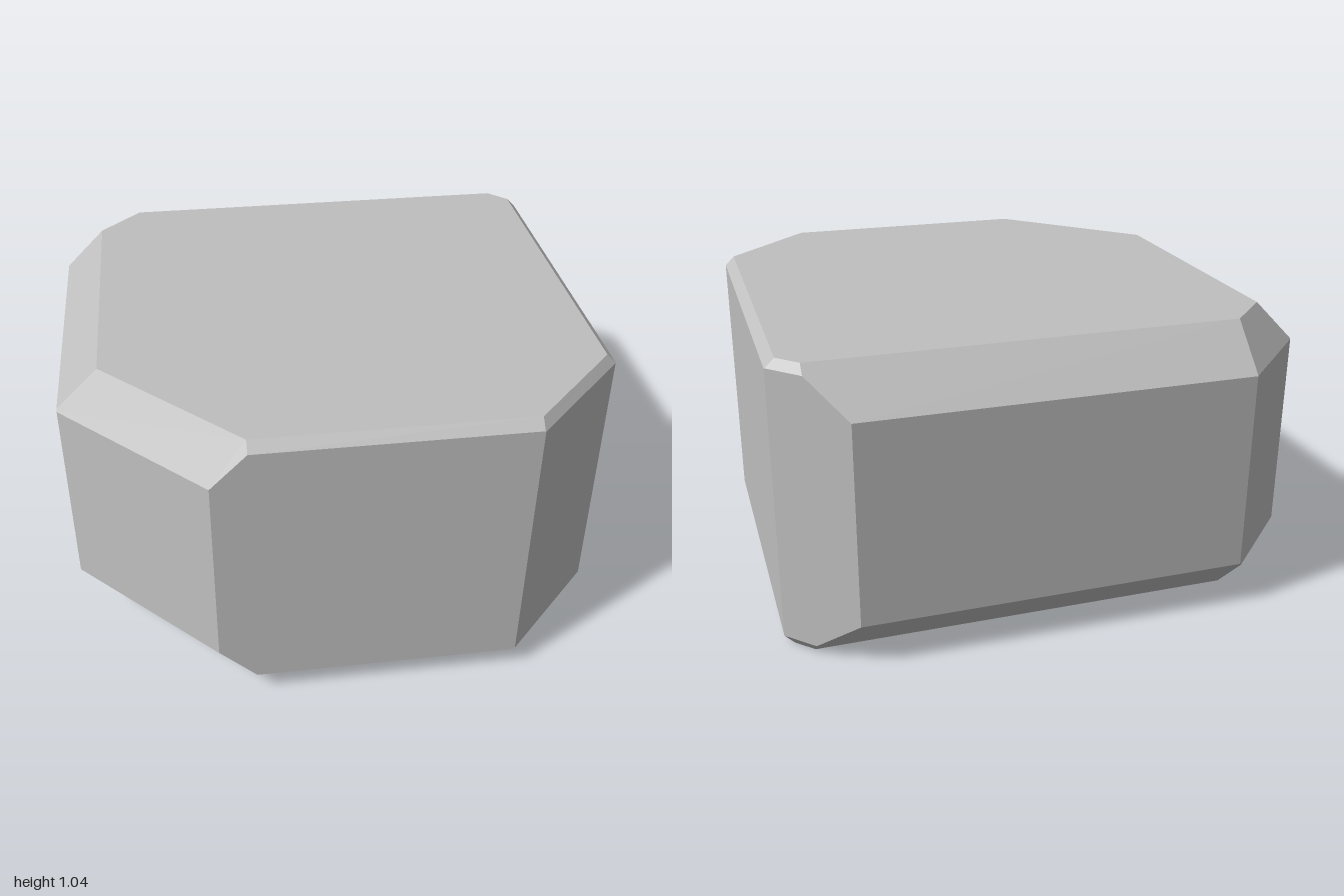
import * as THREE from 'three';

// Flat cuts [i, j, k, d]: the solid is where i*x + j*y + k*z <= d
const cuts = [
  // main faces
  [1, 0, 0, 0.9], [-1, 0, 0, 0.9], [0, 1, 0, 0.49], [0, -1, 0, 0.49], [0, 0, 1, 0.895], [0, 0, -1, 0.843],
  // upright edge bevels
  [-1, 0, -1, 1.456], [1, 0, -1, 1.53], [1, 0, 1, 1.46], [-1, 0, 1, 1.335],
  // top edge bevels
  [-1, 1, 0, 1.248], [1, 1, 0, 1.358], [0, 1, -1, 1.187], [0, 1, 1, 1.353],
  // bottom edge bevels
  [-1, -1, 0, 1.248], [1, -1, 0, 1.358], [0, -1, -1, 1.178], [0, -1, 1, 1.359],
  // corner bevels, top then bottom
  [-1, 1, -1, 1.801], [1, 1, -1, 1.99], [1, 1, 1, 1.916], [-1, 1, 1, 1.676],
  [-1, -1, -1, 1.801], [1, -1, -1, 1.988], [1, -1, 1, 1.919], [-1, -1, 1, 1.677],
].map(([i, j, k, d]) => {
  const n = new THREE.Vector3(i, j, k);
  const len = n.length();
  return new THREE.Plane(n.divideScalar(len), -d / len);
});

// Keep the part of a polygon behind a plane
function clip(poly, plane) {
  const out = [];
  poly.forEach((a, i) => {
    const b = poly[(i + 1) % poly.length];
    const da = plane.distanceToPoint(a), db = plane.distanceToPoint(b);
    if (da <= 0) out.push(a);
    if ((da <= 0) !== (db <= 0)) out.push(a.clone().lerp(b, da / (da - db)));
  });
  return out;
}

// Convex solid: each face is a large square trimmed by every other cut
function cutSolid(planes) {
  const pos = [];
  for (const plane of planes) {
    const n = plane.normal;
    const side = Math.abs(n.y) > 0.9 ? new THREE.Vector3(1, 0, 0) : new THREE.Vector3(0, 1, 0);
    const s = side.cross(n).normalize();
    const t = n.clone().cross(s);
    const c = n.clone().multiplyScalar(-plane.constant);
    let poly = [[-4, -4], [4, -4], [4, 4], [-4, 4]].map(([a, b]) =>
      c.clone().addScaledVector(s, a).addScaledVector(t, b));
    for (const other of planes) if (other !== plane) poly = clip(poly, other);
    for (let i = 1; i < poly.length - 1; i++)
      for (const p of [poly[0], poly[i], poly[i + 1]]) pos.push(p.x, p.y, p.z);
  }
  const geo = new THREE.BufferGeometry();
  geo.setAttribute('position', new THREE.Float32BufferAttribute(pos, 3));
  geo.computeVertexNormals();
  return geo;
}

export function createModel() {
  const group = new THREE.Group();
  const stone = new THREE.MeshStandardMaterial({ name: 'stone grey', color: 0xbfbfbf, flatShading: true });

  // Turned and slightly tipped block, resting on the ground
  const geo = cutSolid(cuts).rotateY(0.2164).rotateX(-0.034);
  geo.computeBoundingBox();
  const { min, max } = geo.boundingBox;
  geo.translate(-(min.x + max.x) / 2, -min.y, -(min.z + max.z) / 2);

  const rock = new THREE.Mesh(geo, stone);
  rock.name = 'rock';
  group.add(rock);
  return group;
}
